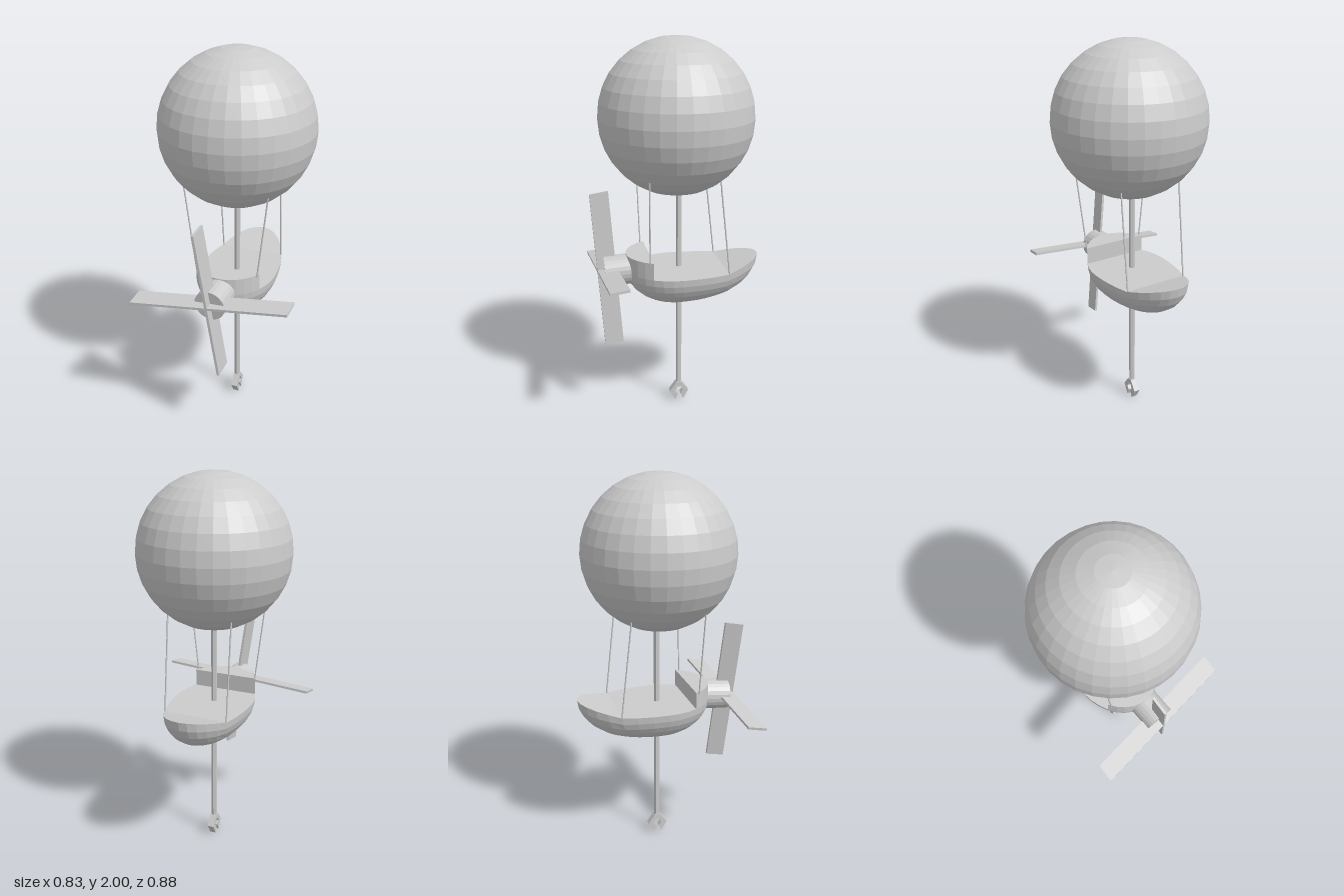
import * as THREE from 'three';

const mat = new THREE.MeshStandardMaterial({ color: 0xcccccc, flatShading: true, side: THREE.DoubleSide });
const V = (x, y, z) => new THREE.Vector3(x, y, z);

const CX = 0.005, DECK = 0.81, STEP = Math.PI / 16;

function part(name, geometry, parent) {
  const mesh = new THREE.Mesh(geometry, mat);
  mesh.name = name;
  parent.add(mesh);
  return mesh;
}

// Surface through a grid of points given by fn(i, j)
function gridSurface(nu, nv, fn) {
  const pos = [], index = [];
  for (let i = 0; i <= nu; i++) for (let j = 0; j <= nv; j++) pos.push(...fn(i, j).toArray());
  for (let i = 0; i < nu; i++) for (let j = 0; j < nv; j++) {
    const a = i * (nv + 1) + j, b = a + nv + 1;
    index.push(a, b, a + 1, b, b + 1, a + 1);
  }
  const g = new THREE.BufferGeometry();
  g.setAttribute('position', new THREE.Float32BufferAttribute(pos, 3));
  g.setIndex(index);
  g.computeVertexNormals();
  return g;
}

// Hull point: half ellipsoid, longer at the back, with a stern that rises
function hullPoint(theta, phi) {
  const s = Math.sin(theta), r = Math.sin(phi), depth = Math.cos(phi);
  const z = s * r * (s > 0 ? 0.27 : 0.442);
  const lift = Math.max(0, -0.245 - z) * 0.26 * (1 - depth);
  return V(CX + 0.21 * Math.cos(theta) * r, DECK - 0.19 * depth + lift, z);
}

function rod(name, a, b, radius, sides, parent) {
  const mesh = part(name, new THREE.CylinderGeometry(radius, radius, a.distanceTo(b), sides), parent);
  mesh.position.copy(a).add(b).multiplyScalar(0.5);
  mesh.quaternion.setFromUnitVectors(V(0, 1, 0), b.clone().sub(a).normalize());
}

export function createModel() {
  const model = new THREE.Group();
  model.name = 'airship';

  // Balloon
  part('balloon', new THREE.SphereGeometry(0.393, 32, 16), model).position.set(CX, 1.607, 0);

  // Boat hull and its folded deck
  const boat = new THREE.Group();
  boat.name = 'boat';
  model.add(boat);
  part('hull', gridSurface(32, 8, (i, j) => hullPoint(i * STEP, Math.PI / 2 - j * STEP)), boat);
  part('deck', gridSurface(16, 1, (i, j) => {
    const p = hullPoint(-Math.PI / 2 + i * STEP, Math.PI / 2);
    if (j === 0) p.x = 2 * CX - p.x;
    return p;
  }), boat);

  // Raised bow block following the rim
  const bow = new THREE.Shape();
  for (let k = 3; k <= 13; k++) {
    const p = hullPoint(k * STEP, Math.PI / 2);
    if (k === 3) bow.moveTo(p.x, -p.z); else bow.lineTo(p.x, -p.z);
  }
  bow.closePath();
  const bowGeo = new THREE.ExtrudeGeometry(bow, { depth: 0.09, bevelEnabled: false });
  bowGeo.rotateX(-Math.PI / 2).translate(0, DECK, 0);
  part('bowBlock', bowGeo, boat);

  // Four ropes from balloon to boat
  for (const s of [1, -1]) {
    rod('frontRope', V(CX + s * 0.218, 1.335, 0.175), V(CX + s * 0.166, 0.89, 0.168), 0.004, 6, model);
    rod('rearRope', V(CX + s * 0.17, 1.315, -0.19), V(CX + s * 0.17, 0.81, -0.247), 0.004, 6, model);
  }

  // Propeller on a skewed frame: four blades set edge-on around a hub
  const propeller = new THREE.Group();
  propeller.name = 'propeller';
  model.add(propeller);
  const skew = new THREE.Matrix4()
    .makeBasis(V(1, 0.1, -0.049), V(-0.125, 1, 0.06), V(-0.09, -0.17, 0.98))
    .setPosition(-0.005, 0.815, 0.37);
  part('horizontalBlades', new THREE.BoxGeometry(0.815, 0.013, 0.098).applyMatrix4(skew), propeller);
  part('verticalBlades', new THREE.BoxGeometry(0.013, 0.81, 0.098).applyMatrix4(skew), propeller);
  const hub = part('hub', new THREE.CylinderGeometry(0.081, 0.081, 0.15, 24), propeller);
  hub.position.set(-0.001, 0.812, 0.305);
  hub.rotation.set(Math.PI / 2 + 0.08, 0, 0.05);

  // Mast through the boat, ending in a claw
  const mast = new THREE.Group();
  mast.name = 'mast';
  mast.position.z = -0.014;
  model.add(mast);
  rod('pole', V(0, 0.09, 0), V(0, 1.26, 0), 0.0155, 6, mast);
  const half = [[0.014, 0.11], [0.053, 0.055], [0.022, 0], [0.008, 0.035], [0.023, 0.055], [0.012, 0.08]];
  const outline = [...half, ...half.map(([u, y]) => [-u, y]).reverse()];
  const claw = new THREE.Shape(outline.map(([u, y]) => new THREE.Vector2(u, y)));
  const clawGeo = new THREE.ExtrudeGeometry(claw, { depth: 0.034, bevelEnabled: false });
  clawGeo.translate(0, 0, -0.017).rotateY(-Math.PI / 2);
  part('claw', clawGeo, mast);

  return model;
}
